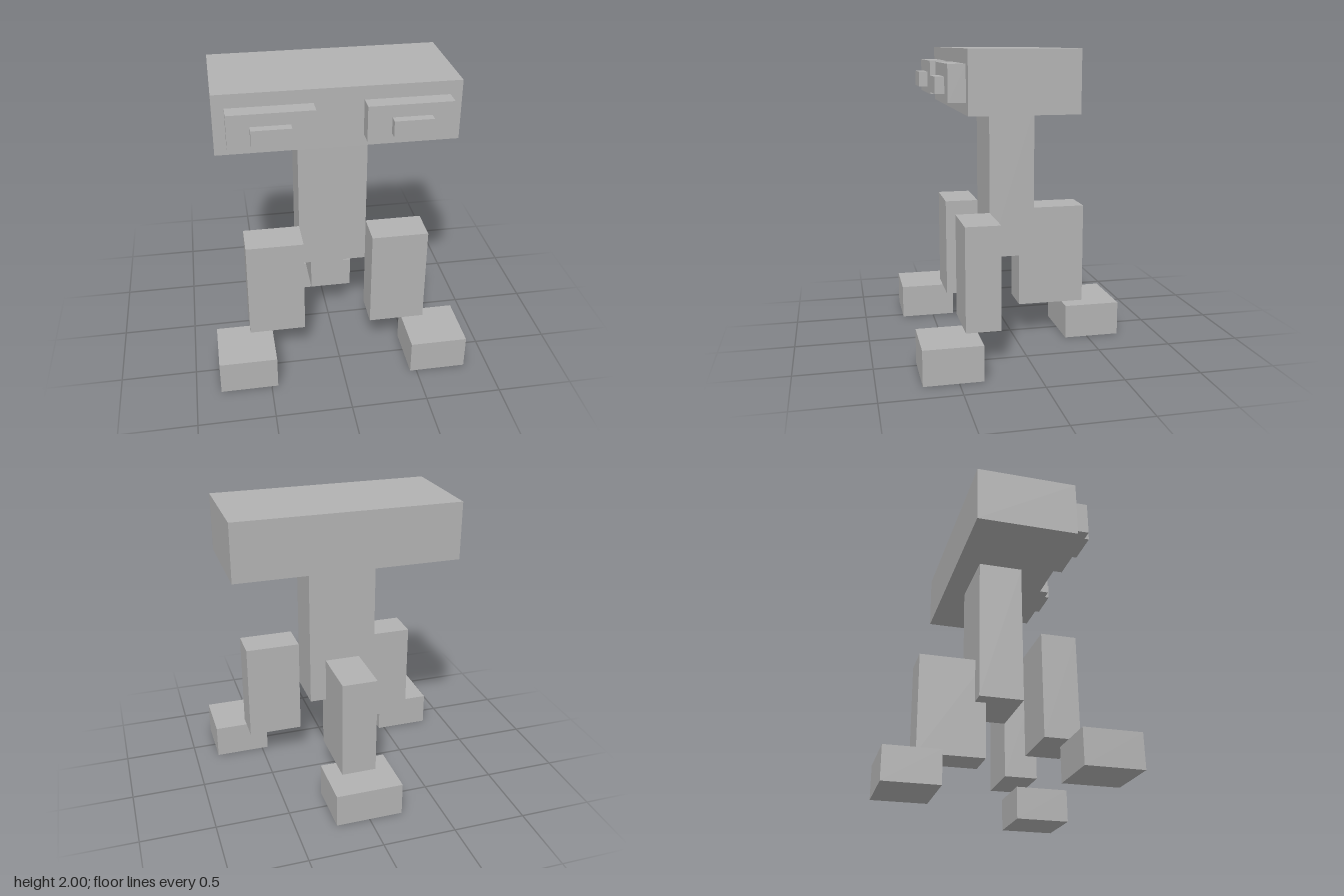
import * as THREE from 'three';

export function createModel() {
  const model = new THREE.Group();
  const grey = new THREE.MeshStandardMaterial({ color: 0xb2b2b2 });
  grey.name = 'plain grey';

  // Box given by its extents along each axis
  function block(name, [x0, x1], [y0, y1], [z0, z1]) {
    const mesh = new THREE.Mesh(new THREE.BoxGeometry(x1 - x0, y1 - y0, z1 - z0), grey);
    mesh.position.set((x0 + x1) / 2, (y0 + y1) / 2, (z0 + z1) / 2);
    mesh.name = name;
    model.add(mesh);
  }

  // The same box on both sides of the body
  function pair(name, [x0, x1], y, z) {
    block('left' + name, [x0, x1], y, z);
    block('right' + name, [-x1, -x0], y, z);
  }

  // Head and body
  block('head', [-0.76, 0.76], [1.61, 2], [-0.268, 0.418]);
  block('body', [-0.23, 0.23], [0.613, 1.61], [-0.113, 0.191]);

  // Eyes with raised pupils
  pair('Eye', [0.154, 0.685], [1.685, 1.912], [0.418, 0.526]);
  pair('Pupil', [0.303, 0.547], [1.73, 1.833], [0.526, 0.585]);

  // Front legs and feet
  pair('FrontLeg', [0.23, 0.61], [0.23, 0.917], [0.191, 0.421]);
  pair('FrontFoot', [0.457, 0.837], [0, 0.23], [0.345, 0.723]);

  // Single back leg, sunk slightly into the body, and its foot
  block('backLeg', [-0.12, 0.12], [0.23, 0.917], [-0.495, -0.038]);
  block('backFoot', [-0.23, 0.23], [0, 0.23], [-0.725, -0.345]);

  return model;
}
